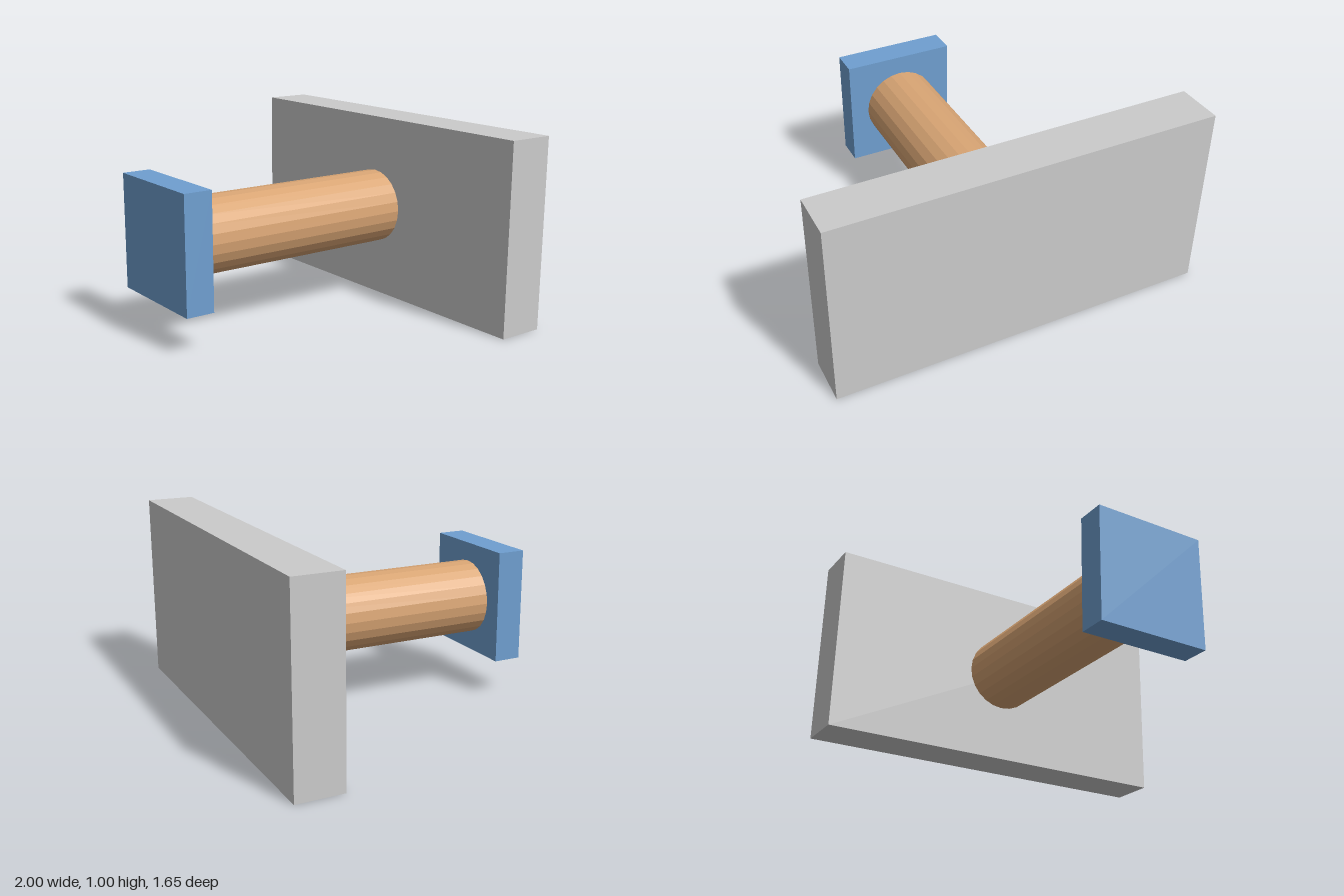
import * as THREE from 'three';

const AXIS_Y = 0.5; // shared height of the shaft axis

export function createModel() {
  const model = new THREE.Group();

  // Adds a part centred on the shaft axis, spanning zBack to zFront
  const addPart = (name, geometry, color, zBack, zFront) => {
    const material = new THREE.MeshStandardMaterial({ color, flatShading: true });
    const mesh = new THREE.Mesh(geometry, material);
    mesh.name = name;
    mesh.position.set(0, AXIS_Y, (zBack + zFront) / 2);
    model.add(mesh);
  };

  // Wide rear plate
  addPart('backPlate', new THREE.BoxGeometry(2, 1, 0.25), 0xcccccc, -0.825, -0.575);

  // Faceted round shaft lying along z
  const shaft = new THREE.CylinderGeometry(0.2, 0.2, 1.25, 24).rotateX(Math.PI / 2);
  addPart('shaft', shaft, 0xd9a574, -0.575, 0.675);

  // Small square plate at the front end
  addPart('frontPlate', new THREE.BoxGeometry(0.6, 0.6, 0.15), 0x6f9fd0, 0.675, 0.825);

  return model;
}
